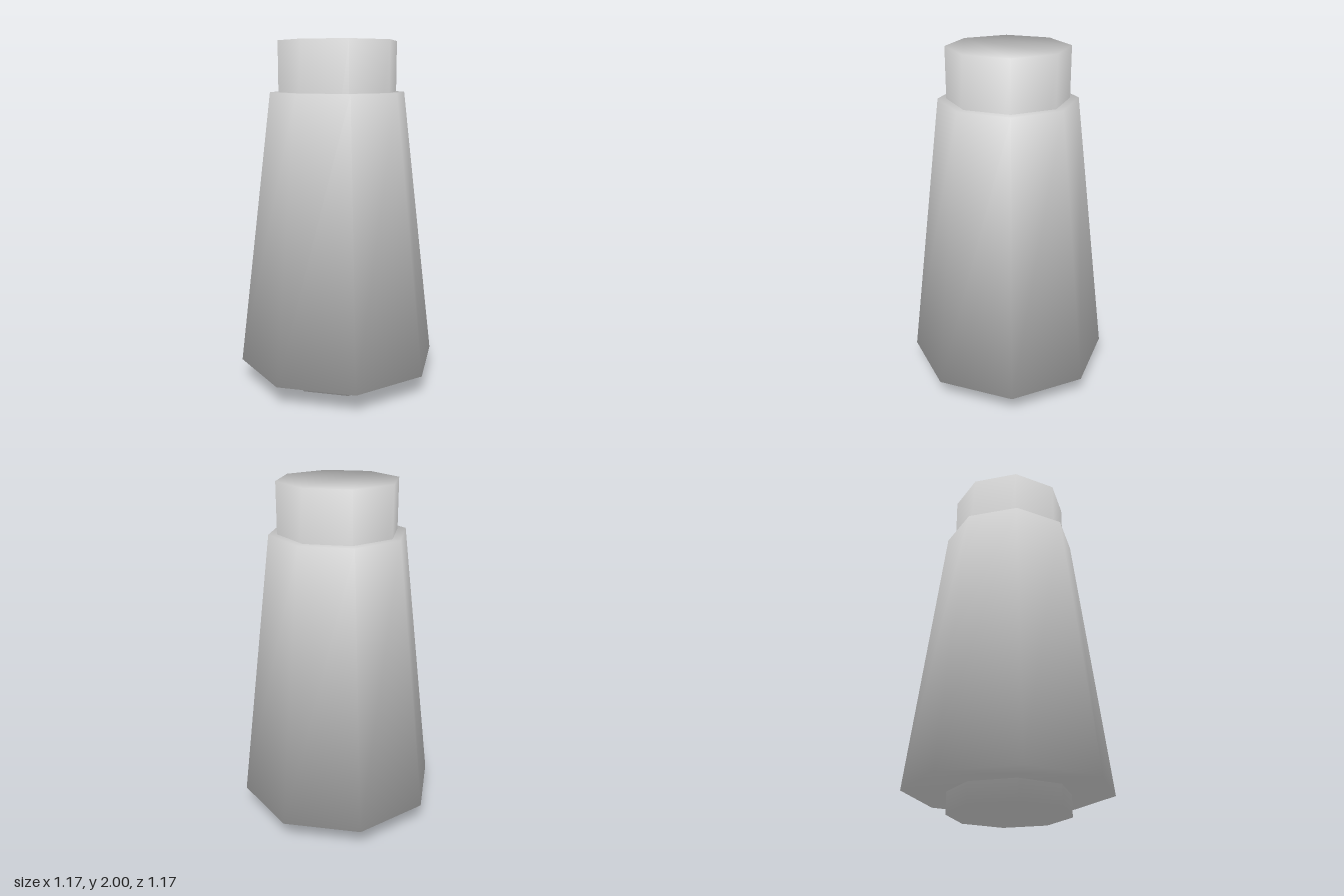
import * as THREE from 'three';

const SIDES = 8;

// Closed eight-sided prism whose normals run smoothly over the rims
// (each corner blends two side faces and one cap, weighted by corner angle).
function smoothPrism(rBottom, rTop, y0, y1) {
  const positions = [], normals = [], index = [];
  const step = (Math.PI * 2) / SIDES;
  const slope = ((rBottom - rTop) * Math.cos(step / 2)) / (y1 - y0);
  const capAngle = Math.PI - step;
  for (const [r, y, dir] of [[rBottom, y0, -1], [rTop, y1, 1]]) {
    for (let i = 0; i < SIDES; i++) {
      const a = i * step;
      const out = Math.PI * Math.cos(step / 2);
      const n = new THREE.Vector3(Math.sin(a) * out, Math.PI * slope + dir * capAngle, Math.cos(a) * out).normalize();
      positions.push(Math.sin(a) * r, y, Math.cos(a) * r);
      normals.push(n.x, n.y, n.z);
    }
  }
  // Side walls
  for (let i = 0; i < SIDES; i++) {
    const j = (i + 1) % SIDES;
    index.push(i, j, SIDES + j, i, SIDES + j, SIDES + i);
  }
  // Bottom and top caps
  for (let i = 1; i < SIDES - 1; i++) {
    index.push(0, i + 1, i, SIDES, SIDES + i, SIDES + i + 1);
  }
  const geometry = new THREE.BufferGeometry();
  geometry.setAttribute('position', new THREE.Float32BufferAttribute(positions, 3));
  geometry.setAttribute('normal', new THREE.Float32BufferAttribute(normals, 3));
  geometry.setIndex(index);
  return geometry;
}

export function createModel() {
  const model = new THREE.Group();
  model.name = 'taperedPost';

  const grey = new THREE.MeshStandardMaterial({ color: 0xcccccc });
  grey.name = 'light grey';

  // Straight core showing above and below the sleeve
  const core = new THREE.Mesh(smoothPrism(0.342, 0.342, 0, 2), grey);
  core.name = 'core';

  // Tapered outer sleeve
  const sleeve = new THREE.Mesh(smoothPrism(0.587, 0.39, 0.122, 1.715), grey);
  sleeve.name = 'sleeve';

  model.add(core, sleeve);
  return model;
}
